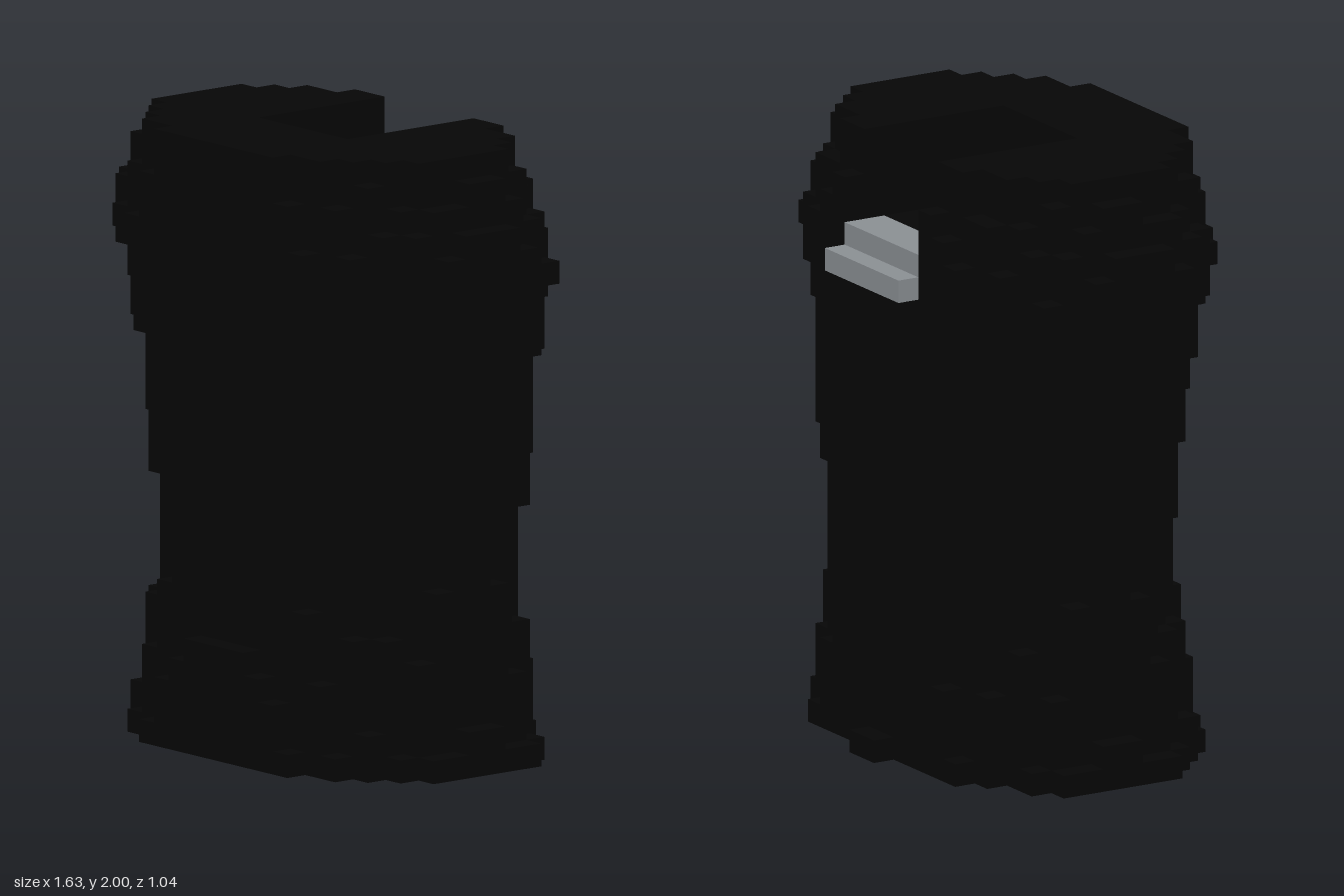
import * as THREE from 'three';
import { mergeGeometries } from 'three/addons/utils/BufferGeometryUtils.js';

const V = 2 / 27; // size of one block
const LAYERS = 27;

// Body radii in blocks, keyed by layer number
const HALF_WIDTH = [[0, 10.3], [1, 9.65], [2, 9.4], [8, 8.75], [13, 9.4], [14, 9.55], [18, 10.4],
  [19, 10.57], [21, 11.43], [22, 11.4], [23, 10.8], [24, 10.4], [25, 9.6], [26, 9.3]];
const FRONT = [[0, 7.43], [4, 6.65], [5, 6.45], [9, 6.16], [13, 6.22], [16, 6.48], [17, 6.53],
  [18, 6.6], [19, 6.72], [20, 6.9], [21, 7.2], [22, 7.43], [24, 7.4], [26, 7.2]];
const BACK = [[0, 6.53], [1, 6.3], [22, 6.3], [24, 5.97], [25, 5.45], [26, 5.3]];

function sample(keys, t) {
  for (let i = 1; i < keys.length; i++) {
    const [a, va] = keys[i - 1], [b, vb] = keys[i];
    if (t <= b) return va + (vb - va) * (t - a) / (b - a);
  }
  return keys[keys.length - 1][1];
}

// Stepped oval rows of one layer: [zStart, halfWidth] from back to front
function layerRows(layer) {
  const w = sample(HALF_WIDTH, layer);
  const rows = [];
  for (let z = -7; z < 7; z++) {
    const d = z + 0.5;
    const k = Math.abs(d) / sample(d < 0 ? BACK : FRONT, layer);
    if (k >= 1) continue;
    const n = Math.round(w * Math.sqrt(1 - k * k));
    if (n > 0) rows.push([z, n]);
  }
  return rows;
}

// One layer as an extruded symmetric outline, with an optional slot in the back
function layerGeometry(layer) {
  const rows = layerRows(layer);
  const slotEnd = layer >= 23 ? 2 : layer === 22 ? -4 : null;
  const half = [];
  const zBack = rows[0][0], zFront = rows[rows.length - 1][0] + 1;
  if (slotEnd === null) half.push([0, zBack]);
  else half.push([0, slotEnd], [3, slotEnd], [3, zBack]);
  rows.forEach(([z, n], i) => {
    if (i === 0 || rows[i - 1][1] !== n) half.push([n, z]);
    if (i === rows.length - 1 || rows[i + 1][1] !== n) half.push([n, z + 1]);
  });
  half.push([0, zFront]);
  const mirrored = half.slice(1, -1).reverse().map(([x, z]) => [-x, z]);
  const points = [...half, ...mirrored].map(([x, z]) => new THREE.Vector2(x * V, z * V));
  const g = new THREE.ExtrudeGeometry(new THREE.Shape(points), { depth: V, bevelEnabled: false });
  g.rotateX(Math.PI / 2);
  g.translate(0, (layer + 1) * V, 0);
  return g;
}

export function createModel() {
  const black = new THREE.MeshStandardMaterial({ name: 'black', color: 0x060606 });
  const grey = new THREE.MeshStandardMaterial({ name: 'grey', color: 0x8d9296 });
  const model = new THREE.Group();
  model.name = 'blockTorso';

  // Torso
  const layers = Array.from({ length: LAYERS }, (_, i) => layerGeometry(i));
  const torso = new THREE.Mesh(mergeGeometries(layers), black);
  torso.name = 'torso';
  model.add(torso);

  // Stepped plate at the mouth of the neck slot
  const addPlate = (name, layer, z0, z1) => {
    const plate = new THREE.Mesh(new THREE.BoxGeometry(6 * V, V, (z1 - z0) * V), grey);
    plate.position.set(0, (layer + 0.5) * V, (z0 + z1) / 2 * V);
    plate.name = name;
    model.add(plate);
  };
  addPlate('plateUpperStep', 22, -6, -4);
  addPlate('plateLowerStep', 21, -7, -6);

  return model;
}
